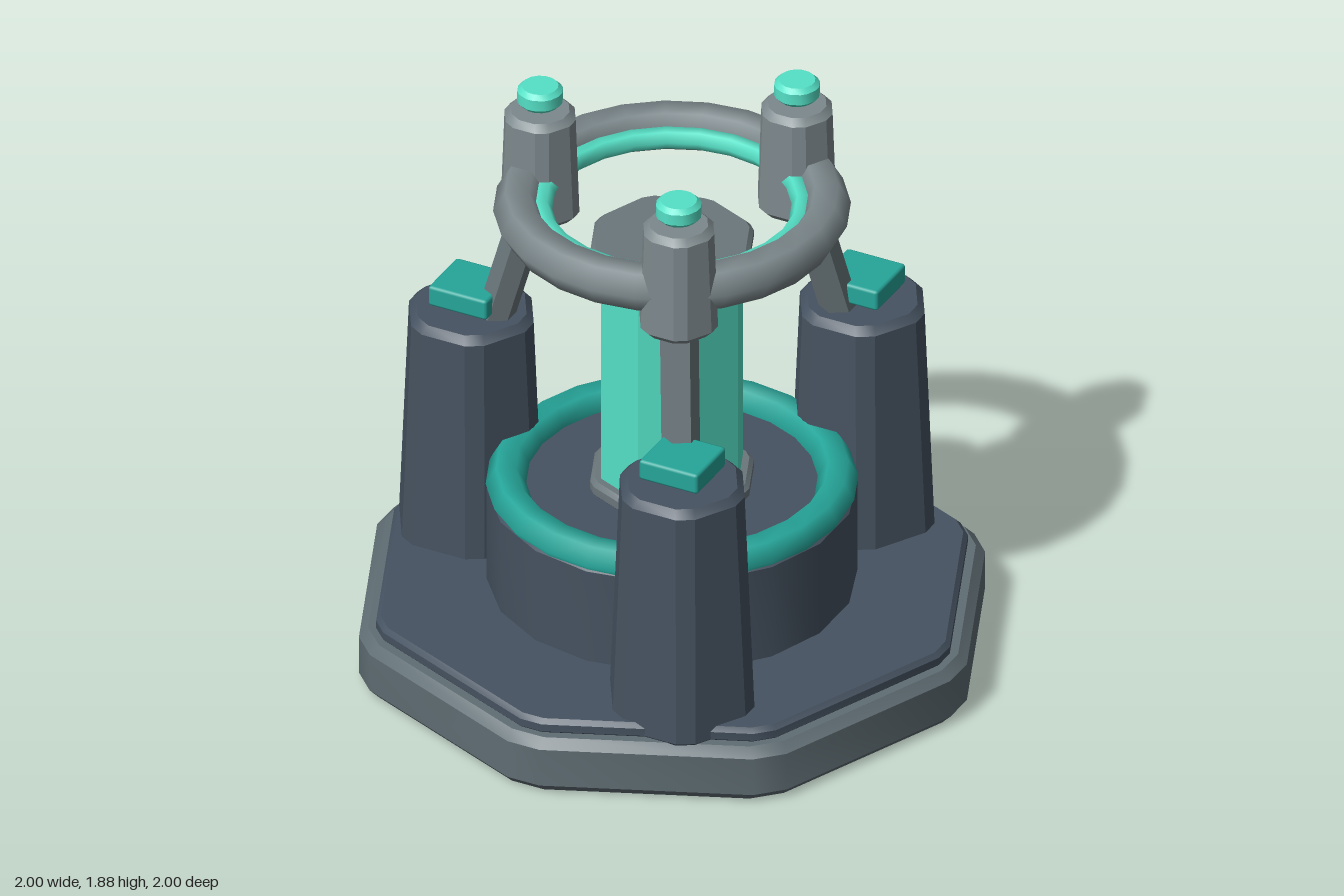
import * as THREE from 'three';
import { toCreasedNormals } from 'three/addons/utils/BufferGeometryUtils.js';
import { RoundedBoxGeometry } from 'three/addons/geometries/RoundedBoxGeometry.js';

const mat = (color) => new THREE.MeshStandardMaterial({ color });

// Regular n-sided prism with a taper, bevelled rims and chamfered upright edges
function bevelPrism(n, rBottom, rTop, y0, y1, bevel, cut) {
  const rings = [[rBottom - bevel, y0], [rBottom, y0 + bevel], [rTop, y1 - bevel], [rTop - bevel, y1]];
  const m = n * 2;
  const pos = [];
  for (const [r, y] of rings) {
    const R = r + cut * Math.sin(Math.PI / n);
    const t = cut / (2 * R * Math.sin(Math.PI / n));
    const corner = (i) => new THREE.Vector3(R * Math.cos((i * 2 * Math.PI) / n), y, R * Math.sin((i * 2 * Math.PI) / n));
    for (let i = 0; i < n; i++) {
      for (const side of [-1, 1]) pos.push(...corner(i).lerp(corner(i + side), t).toArray());
    }
  }
  pos.push(0, y0, 0, 0, y1, 0);
  const idx = [];
  for (let j = 0; j < m; j++) {
    const k = (j + 1) % m;
    for (let s = 0; s < 3; s++) {
      const a = s * m, b = a + m;
      idx.push(a + j, b + j, b + k, a + j, b + k, a + k);
    }
    idx.push(4 * m, j, k, 4 * m + 1, 3 * m + k, 3 * m + j);
  }
  const geo = new THREE.BufferGeometry();
  geo.setAttribute('position', new THREE.Float32BufferAttribute(pos, 3));
  geo.setIndex(idx);
  return toCreasedNormals(geo, 0.45);
}

function torus(radius, tube, radial, tubular) {
  return new THREE.TorusGeometry(radius, tube, radial, tubular).rotateX(Math.PI / 2);
}

export function createModel() {
  const model = new THREE.Group();
  model.name = 'reactor';
  const baseMat = mat(0x5f6d73), darkMat = mat(0x455260), steelMat = mat(0x7d898d);
  const strutMat = mat(0x6b777c), tealMat = mat(0x26a69a), glowMat = mat(0x55e0c6);

  const add = (name, geo, material, x = 0, y = 0, z = 0, parent = model) => {
    const mesh = new THREE.Mesh(geo, material);
    mesh.name = name;
    mesh.position.set(x, y, z);
    parent.add(mesh);
    return mesh;
  };

  // Octagonal foundation
  add('base', bevelPrism(8, 1, 1, 0, 0.19, 0.03, 0.06), baseMat);
  add('deck', bevelPrism(8, 0.95, 0.95, 0.18, 0.235, 0.015, 0.04), darkMat);

  // Drum with a rim ring
  const drum = [[0, 0.2], [0.575, 0.2], [0.575, 0.56], [0.555, 0.58], [0, 0.58]].map((p) => new THREE.Vector2(...p));
  add('drum', toCreasedNormals(new THREE.LatheGeometry(drum, 18), 0.5), darkMat);
  add('drumRing', torus(0.515, 0.063, 6, 24), tealMat, 0, 0.58, 0);

  // Glowing core between two collars
  add('coreCollar', bevelPrism(8, 0.26, 0.26, 0.57, 0.625, 0.014, 0.02), strutMat);
  add('core', toCreasedNormals(new THREE.CylinderGeometry(0.23, 0.23, 0.8, 8), 0.5), glowMat, 0, 1.0, 0);
  add('coreCap', bevelPrism(8, 0.26, 0.26, 1.413, 1.465, 0.014, 0.02), strutMat);

  // Upper ring with a glowing inner ring
  add('upperRing', torus(0.48, 0.075, 6, 24), steelMat, 0, 1.575, 0);
  add('innerRing', torus(0.405, 0.034, 6, 24), glowMat, 0, 1.575, 0);

  // Three pylons, each with a pad, a leaning strut, a clamp and a cap
  const pylonGeo = bevelPrism(6, 0.238, 0.202, 0.17, 1.015, 0.025, 0.035);
  const padGeo = new RoundedBoxGeometry(0.205, 0.07, 0.195, 1, 0.01);
  const clampGeo = bevelPrism(6, 0.126, 0.113, 1.425, 1.8, 0.022, 0.025);
  const capGeo = bevelPrism(8, 0.071, 0.071, 1.818, 1.885, 0.015, 0.012);
  const up = new THREE.Vector3(0, 1, 0);
  [Math.PI, Math.PI / 3, -Math.PI / 3].forEach((angle, i) => {
    const support = new THREE.Group();
    support.name = `support${i + 1}`;
    model.add(support);
    const at = (r, y) => new THREE.Vector3(r * Math.cos(angle), y, r * Math.sin(angle));
    const foot = at(0.7, 0), head = at(0.46, 0);
    add('pylon', pylonGeo, darkMat, foot.x, 0, foot.z, support);
    add('pad', padGeo, tealMat, foot.x, 1.073, foot.z, support);
    add('clamp', clampGeo, steelMat, head.x, 0, head.z, support);
    add('cap', capGeo, glowMat, head.x, 0, head.z, support);
    const from = at(0.645, 0.9), to = at(0.465, 1.53);
    const dir = to.clone().sub(from);
    const mid = from.clone().add(to).multiplyScalar(0.5);
    const strutGeo = toCreasedNormals(new THREE.CylinderGeometry(0.06, 0.06, dir.length(), 6), 0.5);
    const strut = add('strut', strutGeo, strutMat, mid.x, mid.y, mid.z, support);
    strut.quaternion.setFromUnitVectors(up, dir.normalize());
  });

  return model;
}
